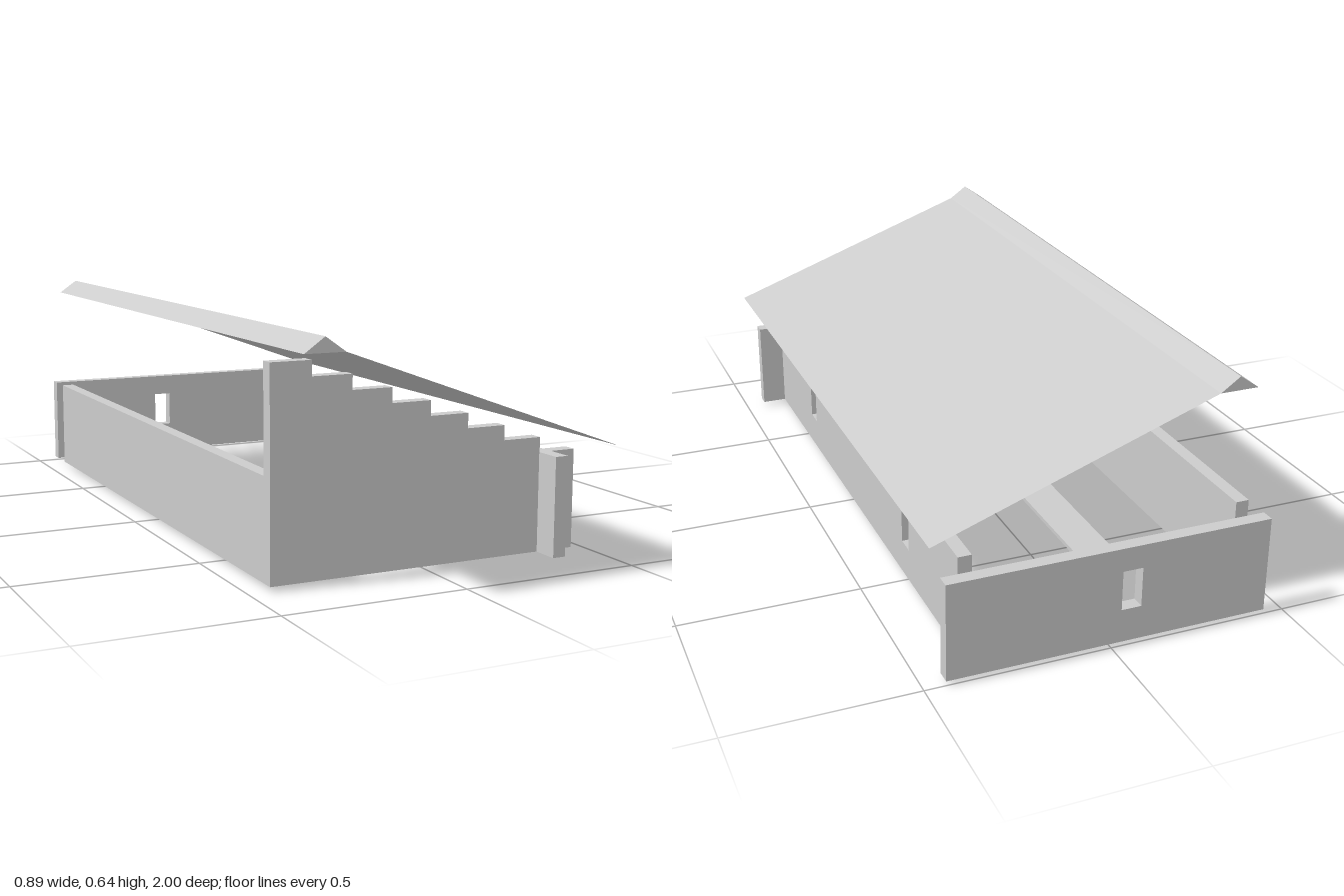
import * as THREE from 'three';

const CELL = 0.111, X = 0.443, BASE = 0.012, THICK = 0.037, LOW = 0.28;
const grey = new THREE.MeshStandardMaterial({ color: 0xcccccc, flatShading: true });
const sheet = new THREE.MeshStandardMaterial({ color: 0xcccccc, flatShading: true, side: THREE.DoubleSide });

function add(parent, name, geometry, material = grey) {
  const mesh = new THREE.Mesh(geometry, material);
  mesh.name = name;
  parent.add(mesh);
  return mesh;
}

const rect = (a, b, y0, y1) => [[a, y0], [b, y0], [b, y1], [a, y1]].map(p => new THREE.Vector2(...p));

// Upright slab from an outline, with window openings given by their start
function slab(outline, windows = []) {
  const shape = new THREE.Shape(outline);
  for (const w of windows) shape.holes.push(new THREE.Path(rect(w, w + 0.055, 0.105, 0.215).reverse()));
  return new THREE.ExtrudeGeometry(shape, { depth: THICK, bevelEnabled: false });
}

function box(x0, x1, y0, y1, z0, z1) {
  return new THREE.BoxGeometry(x1 - x0, y1 - y0, z1 - z0)
    .translate((x0 + x1) / 2, (y0 + y1) / 2, (z0 + z1) / 2);
}

// Open sheet: a polyline in the xy plane swept from z0 to z1, facing up
function sweep(points, z0, z1) {
  const pos = [];
  for (let i = 0; i < points.length - 1; i++) {
    const [a, b] = [points[i], points[i + 1]];
    pos.push(...a, z0, ...a, z1, ...b, z1, ...a, z0, ...b, z1, ...b, z0);
  }
  const g = new THREE.BufferGeometry();
  g.setAttribute('position', new THREE.Float32BufferAttribute(pos, 3));
  g.computeVertexNormals();
  return g;
}

export function createModel() {
  const model = new THREE.Group();
  model.name = 'house';

  // Stepped gable wall, falling one step per cell
  const steps = [new THREE.Vector2(X, BASE), new THREE.Vector2(-X, BASE)];
  for (let i = 0; i < 8; i++) {
    const x = -X + i * CELL, y = 0.56 - 0.04 * i;
    steps.push(new THREE.Vector2(x, y), new THREE.Vector2(i === 7 ? X : x + CELL, y));
  }
  add(model, 'frontWall', slab(steps.reverse())).position.z = 0.779;

  // Low walls
  add(model, 'backWall', slab(rect(-X, X, BASE, LOW), [-0.08])).position.z = -1;
  const side = add(model, 'leftSideWall', slab(rect(-0.89, 0.89, BASE, LOW), [-0.525, 0.365]));
  side.rotation.y = -Math.PI / 2;
  side.position.x = 0.37;
  add(model, 'rightSideWall', box(-X, -X + THICK, BASE, LOW, -0.89, 0.779));

  // Floor planks
  add(model, 'crossPlank', box(-0.333, 0.222, 0, BASE, 0.225, 0.335));
  add(model, 'longPlank', box(-0.222, -0.111, 0, BASE, -0.665, -0.11));

  // Thin sloping roof and hollow ridge cap
  const ridge = [[-X, 0.6], [-0.389, 0.638], [-0.335, 0.6]];
  add(model, 'roofSlope', sweep([ridge[2], [X, 0.32]], -0.89, 1), sheet);
  add(model, 'ridgeCap', sweep(ridge, -0.89, 1), sheet);

  // Triangular partitions inside the ridge cap
  const triangle = new THREE.ShapeGeometry(new THREE.Shape(ridge.map(p => new THREE.Vector2(...p))));
  const partitions = new THREE.Group();
  partitions.name = 'ridgePartitions';
  for (let i = 0; i <= 17; i++) add(partitions, 'ridgePartition', triangle, sheet).position.z = -0.89 + i * 1.89 / 17;
  model.add(partitions);

  return model;
}
